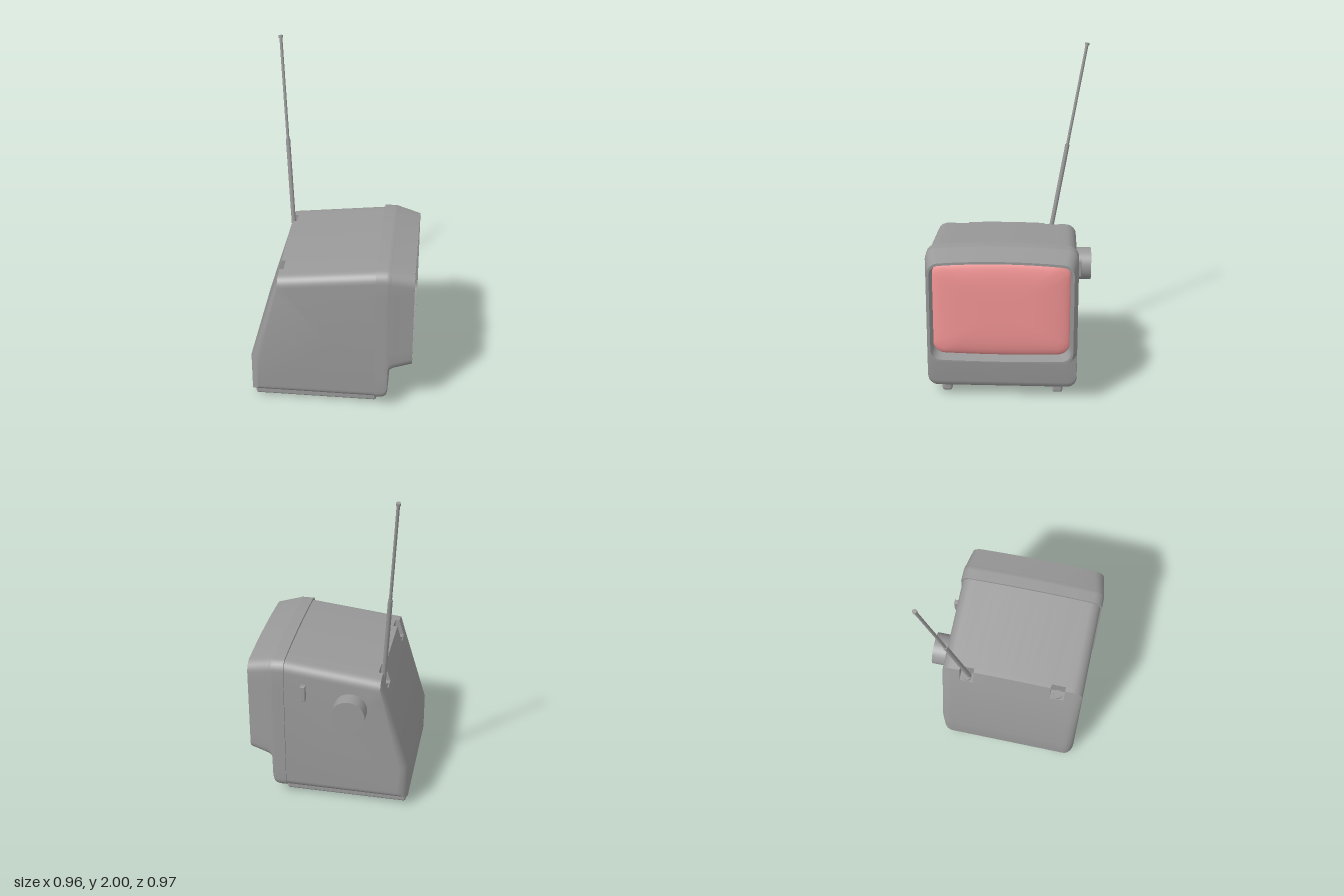
import * as THREE from 'three';
import { toCreasedNormals } from 'three/addons/utils/BufferGeometryUtils.js';
import { RoundedBoxGeometry } from 'three/addons/geometries/RoundedBoxGeometry.js';

const MID = 0.04; // z of the cabinet's centre plane
const grey = new THREE.MeshStandardMaterial({ color: 0x999999 });
const pink = new THREE.MeshStandardMaterial({ color: 0xf29494 });

// Skin a list of closed rings that all have the same number of points.
function loft(rings, crease = 0.55) {
  const n = rings[0].length;
  const index = [];
  for (let i = 0; i < rings.length - 1; i++) {
    for (let j = 0; j < n; j++) {
      const k = (j + 1) % n;
      const a = i * n + j, b = i * n + k, c = a + n, d = b + n;
      index.push(a, b, c, b, d, c);
    }
  }
  const geo = new THREE.BufferGeometry();
  geo.setAttribute('position', new THREE.Float32BufferAttribute(rings.flat(2), 3));
  geo.setIndex(index);
  return toCreasedNormals(geo, crease);
}

// Rounded rectangle across the x axis, with bowed top and bottom edges.
function screenRing(x, hw, y0, y1, r, bowTop = 0.02, bowBottom = 0) {
  const mid = (y0 + y1) / 2, hh = (y1 - y0) / 2;
  const flat = [];
  for (let q = 0; q < 4; q++) {
    const cz = (q === 0 || q === 3 ? 1 : -1) * (hw - r);
    const cy = (q < 2 ? -1 : 1) * (hh - r);
    for (let i = 0; i <= 6; i++) {
      const a = (q + i / 6) * Math.PI / 2;
      flat.push([cz + r * Math.cos(a), cy - r * Math.sin(a), i === 6]);
    }
  }
  const ring = [];
  flat.forEach(([z, y, last], i) => {
    const [nz, ny] = flat[(i + 1) % flat.length];
    const steps = last ? 8 : 1;
    for (let s = 0; s < steps; s++) {
      const pz = z + (nz - z) * s / steps, py = y + (ny - y) * s / steps;
      const bow = (py > 0 ? bowTop : bowBottom) * (1 - (pz / hw) ** 2) * py / hh;
      ring.push([x, mid + py + bow, MID + pz]);
    }
  });
  return ring;
}

// Side profile of the cabinet at offset z from its centre plane.
// A notched slice has a step cut into the rear top edge for an antenna socket.
const HALF = 0.4325, FLOOR = 0.775;
function cabinetSlice(z, notched = false) {
  const d = HALF - Math.abs(z);
  const inset = r => (d >= r ? 0 : r - Math.sqrt(r * r - (r - d) ** 2));
  const bottom = 0.066 + inset(0.05);
  const top = x => 0.868 + 0.11 * (x + 0.305) + 0.015 * (1 - (z / HALF) ** 2) - inset(0.06);
  const kneeX = -0.48 + inset(0.06), kneeY = 0.3, creaseX = -0.305, wallX = -0.28;
  const t = (FLOOR - kneeY) / (top(creaseX) - kneeY);
  const points = [
    [0.262, bottom], [0.262, top(0.262)], [wallX, top(wallX)],
    notched ? [wallX, FLOOR] : [creaseX, top(creaseX)],
    [kneeX + t * (creaseX - kneeX), FLOOR], [kneeX, kneeY], [kneeX, bottom],
  ];
  return points.map(([x, y]) => [x, y, MID + z]);
}

function createCabinet() {
  // Slices from the centre plane out to the left side: offset, notched
  const half = [[0.06], [0.12], [0.18], [0.237], [0.237, true], [0.323, true], [0.323], [0.35]];
  for (let i = 0; i <= 8; i++) half.push([HALF - 0.06 * (1 - Math.sin(i / 8 * Math.PI / 2))]);
  const mirrored = half.map(([z, notched]) => [-z, notched]).reverse();
  const slices = [...mirrored, [0], ...half].map(([z, notched]) => cabinetSlice(z, notched));
  const cap = z => Array.from({ length: 7 }, () => [0, 0.45, MID + z]);
  return loft([cap(-HALF), ...slices, cap(HALF)]);
}

function createFrontFrame() {
  // x, half width, bottom, top
  const outer = [
    [0.26, 0.41, 0.1, 0.91], [0.26, 0.4425, 0.061, 0.94], [0.3, 0.4425, 0.061, 0.94],
    [0.32, 0.4425, 0.067, 0.94], [0.333, 0.4425, 0.081, 0.94], [0.339, 0.4415, 0.102, 0.939],
    [0.341, 0.441, 0.23, 0.938], [0.345, 0.44, 0.253, 0.937], [0.354, 0.439, 0.267, 0.935],
    [0.369, 0.436, 0.276, 0.931], [0.48, 0.4165, 0.301, 0.905],
  ];
  const rings = outer.map(([x, hw, y0, y1]) => screenRing(x, hw, y0, y1, 0.06));
  rings.push(screenRing(0.48, 0.406, 0.314, 0.891, 0.055, 0.02, 0.008));
  rings.push(screenRing(0.395, 0.394, 0.326, 0.88, 0.055, 0.02, 0.008));
  return loft(rings);
}

function createScreen() {
  const rings = [];
  for (let i = 0; i <= 12; i++) {
    const s = Math.cos(i / 12 * Math.PI / 2);
    const x = 0.396 + 0.042 * Math.sqrt(1 - s ** 4);
    rings.push(screenRing(x, 0.4 * s + 1e-4, 0.605 - 0.283 * s - 1e-4, 0.605 + 0.279 * s + 1e-4,
      0.07 * s, 0.02 * s, 0.01 * s));
  }
  return loft(rings, 1);
}

export function createModel() {
  const model = new THREE.Group();
  const add = (name, geo, x = 0, y = 0, z = 0, material = grey) => {
    const mesh = new THREE.Mesh(geo, material);
    mesh.name = name;
    mesh.position.set(x, y, z);
    model.add(mesh);
    return mesh;
  };

  add('cabinet', createCabinet());
  add('frontFrame', createFrontFrame());
  add('screen', createScreen(), 0, 0, 0, pink);

  // Runners under the cabinet and pivots sunk in the antenna sockets
  for (const [side, s] of [['left', 1], ['right', -1]]) {
    add(side + 'Foot', new RoundedBoxGeometry(0.735, 0.08, 0.06, 3, 0.015), -0.096, 0.04, 0.0425 + s * 0.3325);
    add(side + 'AntennaPivot', new THREE.CylinderGeometry(0.026, 0.026, 0.03, 24), -0.306, FLOOR, MID + s * 0.28);
  }

  // Tuning knob and switch on the side
  const knob = add('tuningKnob', new THREE.CylinderGeometry(0.098, 0.098, 0.1, 40), -0.135, 0.681, -0.435);
  knob.rotation.x = Math.PI / 2;
  add('sideSwitch', new RoundedBoxGeometry(0.028, 0.1, 0.04, 3, 0.003), 0.143, 0.76, -0.401);

  // Telescopic antenna
  const base = new THREE.Vector3(-0.3, 0.785, -0.226);
  const tip = new THREE.Vector3(-0.388, 1.998, -0.44);
  const dir = tip.clone().sub(base).normalize();
  const rod = (name, t0, t1, r) => {
    const a = base.clone().lerp(tip, t0), b = base.clone().lerp(tip, t1);
    const mesh = add(name, new THREE.CylinderGeometry(r, r, a.distanceTo(b), 16));
    mesh.position.copy(a.add(b).multiplyScalar(0.5));
    mesh.quaternion.setFromUnitVectors(new THREE.Vector3(0, 1, 0), dir);
  };
  rod('antennaLowerRod', 0, 0.49, 0.0135);
  rod('antennaUpperRod', 0.485, 0.99, 0.009);
  rod('antennaTip', 0.988, 1, 0.013);

  return model;
}
